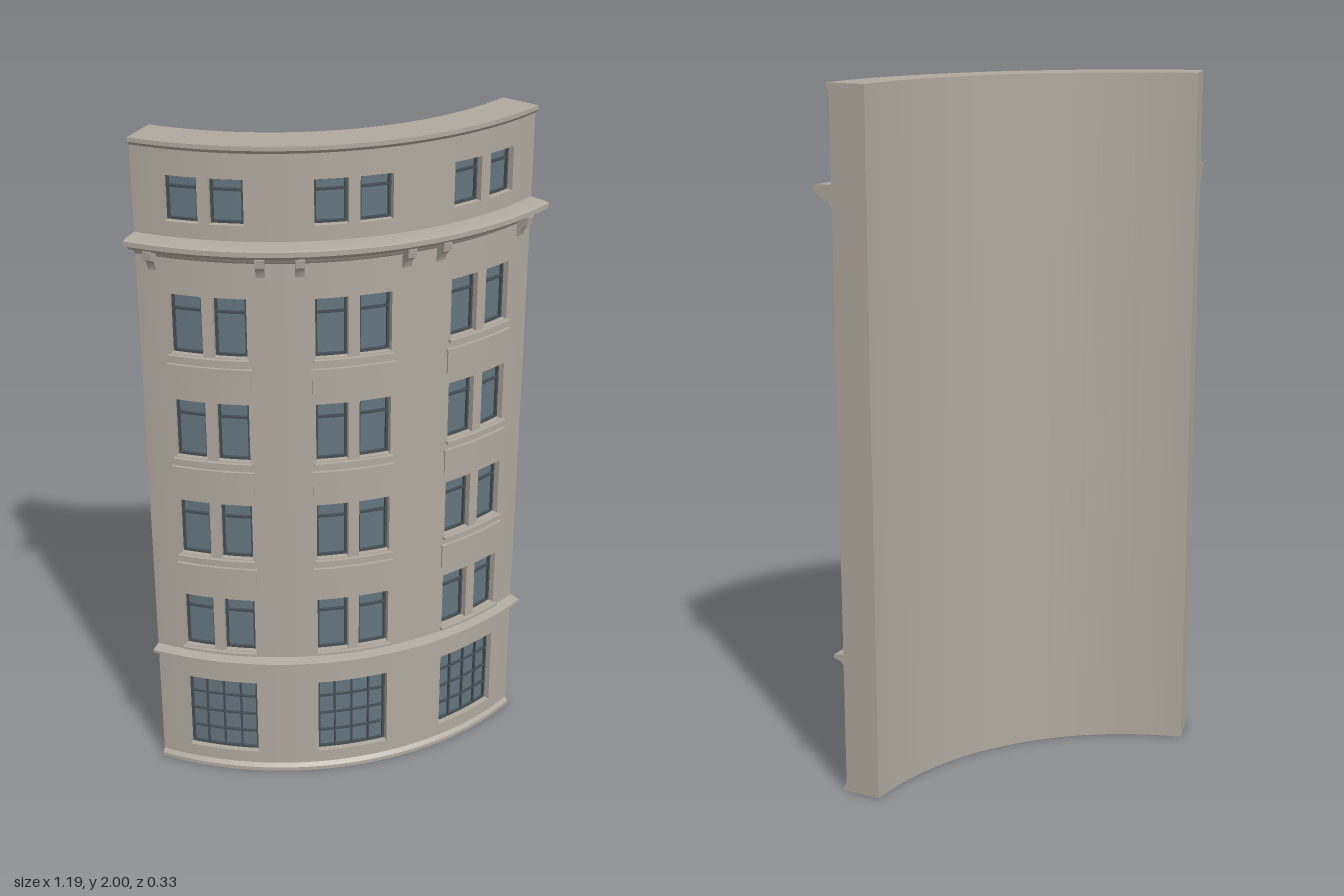
import * as THREE from 'three';
import { mergeGeometries, toCreasedNormals } from 'three/addons/utils/BufferGeometryUtils.js';

const HALF = 37.7;                 // half of the arc, in degrees
const CENTRE_Z = -0.805;           // axis of the curve
const R_IN = 0.805, R_CORE = 0.883, R_WALL = 0.913;
const BAY = HALF * 2 / 3;
const BAYS = [-BAY, 0, BAY];
const WIN = 6.75, MULLION = 1;     // half widths of window group and its pier

const stone = new THREE.MeshStandardMaterial({ name: 'stone', color: 0xb0a99f });
const glass = new THREE.MeshStandardMaterial({ name: 'glass', color: 0x64757f });
const frame = new THREE.MeshStandardMaterial({ name: 'windowFrame', color: 0x454f54 });

// Sweeps a [radius, height] profile round the axis between two angles
function sweep(profile, a0, a1) {
  const shape = new THREE.Shape(profile.map(([r, y]) => new THREE.Vector2(r, y)));
  const steps = Math.max(1, Math.ceil((a1 - a0) / 2.2));
  const geo = new THREE.ExtrudeGeometry(shape, { depth: 1, steps, bevelEnabled: false });
  const p = geo.attributes.position;
  for (let i = 0; i < p.count; i++) {
    const r = p.getX(i);
    const a = THREE.MathUtils.degToRad(a1 - p.getZ(i) * (a1 - a0));
    p.setXYZ(i, r * Math.sin(a), p.getY(i), r * Math.cos(a) + CENTRE_Z);
  }
  return toCreasedNormals(geo, 0.4);
}

// Curved block between two radii, heights and angles
const block = (r0, r1, y0, y1, a0, a1) =>
  sweep([[r0, y0], [r1, y0], [r1, y1], [r0, y1]], a0, a1);

export function createModel() {
  const model = new THREE.Group();
  model.name = 'curvedFacade';
  const add = (name, geos, material) => {
    const mesh = new THREE.Mesh(mergeGeometries(geos), material);
    mesh.name = name;
    model.add(mesh);
  };

  // Window openings: [bottom, top]
  const shop = [0.065, 0.32];
  const floors = [[0.435, 0.615], [0.755, 0.935], [1.075, 1.255], [1.395, 1.572]];
  const attic = [1.78, 1.907];
  const pairs = [...floors, attic];

  // Backing wall, then a front layer built around the openings
  add('backWall', [block(R_IN, R_CORE, 0, 2, -HALF, HALF)], stone);
  const layer = [];
  const edges = [-HALF, ...BAYS.flatMap(b => [b - WIN, b + WIN]), HALF];
  for (let i = 0; i < edges.length; i += 2)
    layer.push(block(R_CORE, R_WALL, 0, 2, edges[i], edges[i + 1]));
  const levels = [0, ...[shop, ...pairs].flat(), 2];
  for (const b of BAYS) {
    for (let i = 0; i < levels.length; i += 2)
      layer.push(block(R_CORE, R_WALL, levels[i], levels[i + 1], b - WIN, b + WIN));
    for (const [y0, y1] of pairs)
      layer.push(block(R_CORE, R_WALL, y0, y1, b - MULLION, b + MULLION));
  }
  add('frontWall', layer, stone);

  // Windows: a glass pane with a border and glazing bars
  const panes = [], bars = [];
  const addWindow = (a0, a1, y0, y1, uprights, rails, deg, tall) => {
    panes.push(block(R_CORE, R_CORE + 0.004, y0, y1, a0, a1));
    const bar = (b0, b1, c0, c1) => bars.push(block(R_CORE, R_CORE + 0.012, c0, c1, b0, b1));
    bar(a0, a0 + 0.45, y0, y1);
    bar(a1 - 0.45, a1, y0, y1);
    bar(a0, a1, y0, y0 + 0.007);
    bar(a0, a1, y1 - 0.007, y1);
    for (const a of uprights) bar(a - deg / 2, a + deg / 2, y0, y1);
    for (const y of rails) bar(a0, a1, y - tall / 2, y + tall / 2);
  };
  for (const b of BAYS) {
    const [s0, s1] = shop;
    addWindow(b - WIN, b + WIN, s0, s1, [-1, 0, 1].map(k => b + k * WIN / 2),
      [1, 2, 3].map(k => s0 + (s1 - s0) * k / 4), 0.32, 0.005);
    for (const [y0, y1] of pairs) {
      const rail = y1 - (y1 - y0) * 0.27;
      addWindow(b - WIN, b - MULLION, y0, y1, [], [rail], 0.3, 0.007);
      addWindow(b + MULLION, b + WIN, y0, y1, [], [rail], 0.3, 0.007);
    }
  }
  add('windowPanes', panes, glass);
  add('windowFrames', bars, frame);

  // Sills, with a capped panel beneath those of the upper floors
  const sills = [], panels = [];
  for (const b of BAYS) {
    floors.forEach(([y0], i) => {
      sills.push(block(R_WALL, 0.925, y0 - 0.01, y0 - 0.002, b - 7.1, b + 7.1));
      if (i === 0) return;
      panels.push(block(R_WALL, 0.918, y0 - 0.106, y0 - 0.034, b - 7.3, b + 7.3));
      panels.push(block(R_WALL, 0.922, y0 - 0.036, y0 - 0.03, b - 7.5, b + 7.5));
    });
  }
  add('windowSills', sills, stone);
  add('spandrelPanels', panels, stone);

  // Horizontal mouldings across the whole arc
  const moulding = (name, profile) => add(name, [sweep(profile, -HALF, HALF)], stone);
  moulding('plinth', [[R_WALL, 0], [0.922, 0], [0.922, 0.012], [R_WALL, 0.024]]);
  moulding('beltCourse', [[R_WALL, 0.385], [0.921, 0.395], [0.935, 0.4], [0.945, 0.403],
    [0.945, 0.412], [R_WALL, 0.418]]);
  moulding('cornice', [[R_WALL, 1.675], [0.921, 1.685], [0.925, 1.695], [0.945, 1.698],
    [0.958, 1.71], [0.963, 1.716], [0.972, 1.716], [0.972, 1.73], [0.962, 1.734], [R_WALL, 1.737]]);
  moulding('topRim', [[R_WALL, 1.978], [0.922, 1.988], [0.922, 2], [R_WALL, 2]]);

  // Paired scroll brackets under the cornice
  const bracket = [[R_WALL, 1.638], [0.92, 1.638], [0.925, 1.655], [0.935, 1.668],
    [0.948, 1.675], [0.952, 1.7], [R_WALL, 1.7]];
  const brackets = BAYS.flatMap(b => [-9.3, 9.3].map(o => sweep(bracket, b + o - 0.75, b + o + 0.75)));
  add('corniceBrackets', brackets, stone);

  return model;
}
